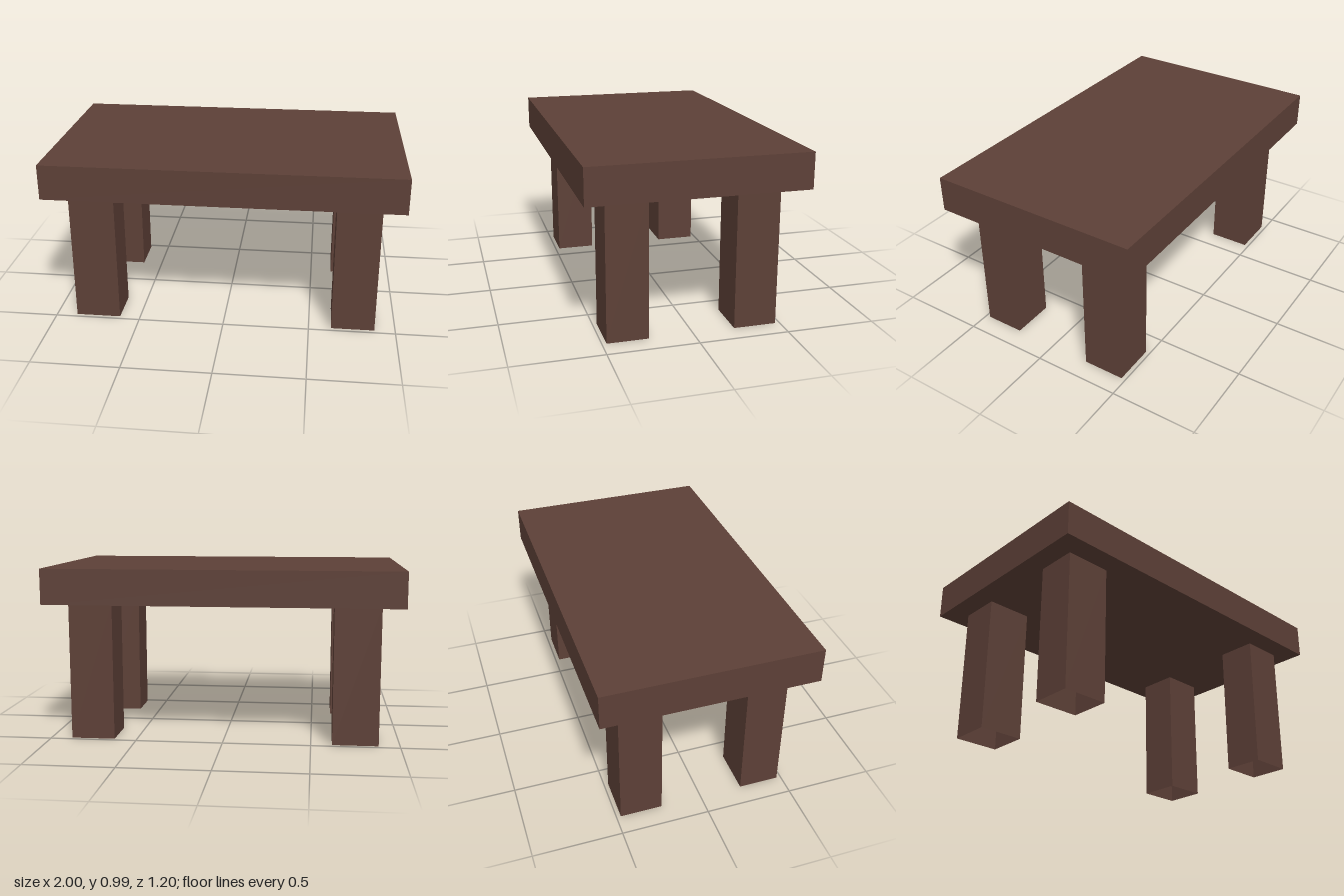
import * as THREE from 'three';

const wood = new THREE.MeshStandardMaterial({ color: 0x5d4037, side: THREE.DoubleSide });
wood.name = 'dark brown wood';

const topBottom = 0.79;
const topHeight = 0.2;

// Square tube of unit size, open at both ends, with flat faces
function squareTube() {
  const tube = new THREE.CylinderGeometry(Math.SQRT1_2, Math.SQRT1_2, 1, 4, 1, true);
  const flat = tube.rotateY(Math.PI / 4).toNonIndexed();
  flat.computeVertexNormals();
  return flat;
}

export function createModel() {
  const table = new THREE.Group();
  table.name = 'table';

  // Thick slab top
  const top = new THREE.Mesh(new THREE.BoxGeometry(2, topHeight, 1.2), wood);
  top.name = 'tableTop';
  top.position.y = topBottom + topHeight / 2;
  table.add(top);

  // Four hollow legs, slightly uneven in width
  const legGeometry = squareTube();
  const columns = [['left', 0.63, 0.88], ['right', -0.88, -0.62]];
  const rows = [['front', 0.245, 0.475], ['back', -0.475, -0.235]];
  for (const [side, x0, x1] of columns) {
    for (const [end, z0, z1] of rows) {
      const leg = new THREE.Mesh(legGeometry, wood);
      leg.name = `${end} ${side} leg`;
      leg.scale.set(x1 - x0, topBottom, z1 - z0);
      leg.position.set((x0 + x1) / 2, topBottom / 2, (z0 + z1) / 2);
      table.add(leg);
    }
  }

  return table;
}
